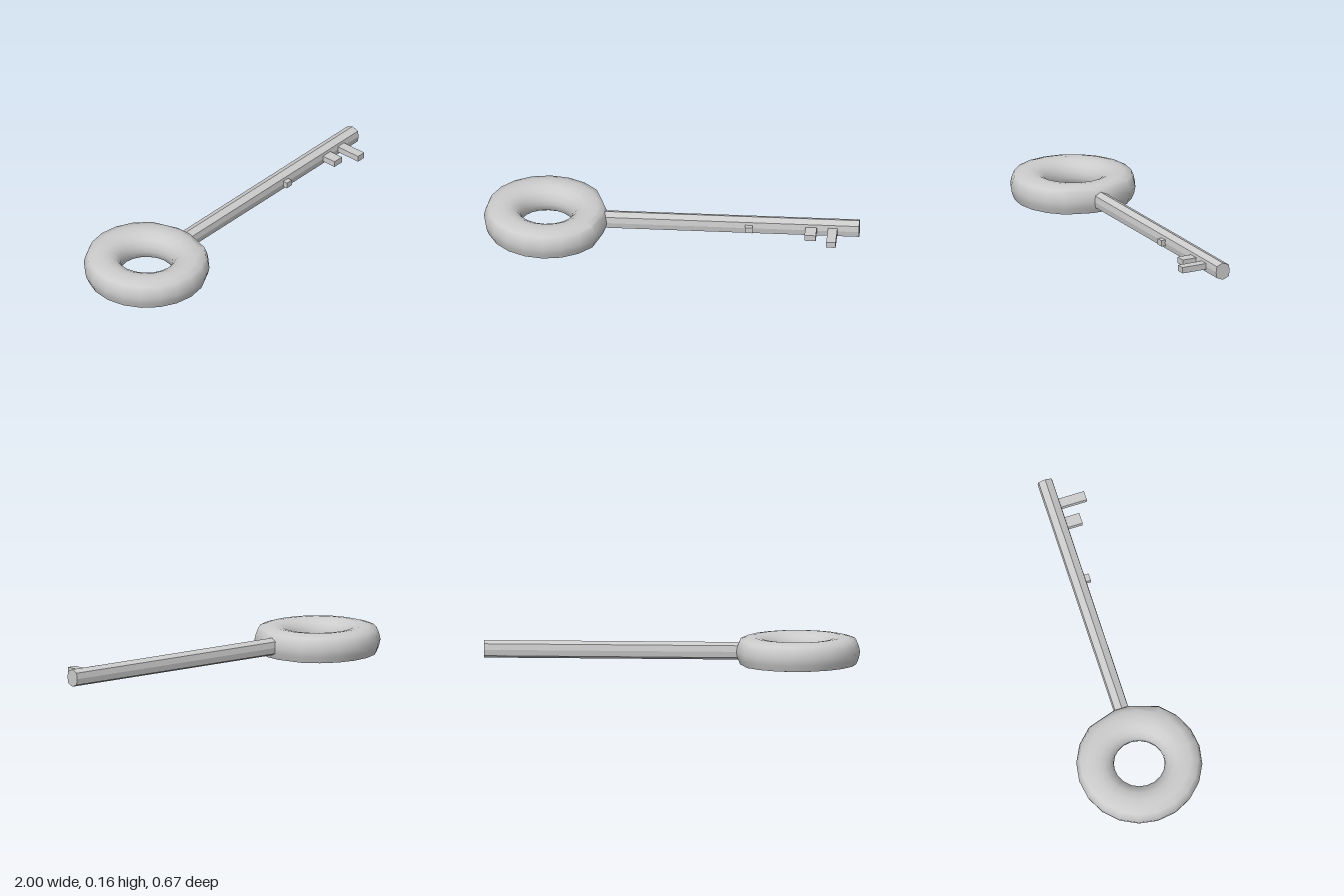
import * as THREE from 'three';
import { mergeVertices, toCreasedNormals } from 'three/addons/utils/BufferGeometryUtils.js';

const RING_X = -0.665, MID_Y = 0.078;

export function createModel() {
  const model = new THREE.Group();
  const grey = new THREE.MeshStandardMaterial({ color: 0xcccccc });
  const add = (name, geometry, x, y, z) => {
    const mesh = new THREE.Mesh(geometry, grey);
    mesh.name = name;
    mesh.position.set(x, y, z);
    model.add(mesh);
  };

  // Ring handle: thick rounded section turned in 20 steps, with a lip underneath
  const profile = [
    [0.235, 0], [0.272, 0.011], [0.315, 0.012], [0.328, 0.044], [0.335, 0.078],
    [0.328, 0.11], [0.315, 0.142], [0.275, 0.153], [0.235, 0.158], [0.195, 0.152],
    [0.16, 0.133], [0.138, 0.1], [0.135, 0.07], [0.142, 0.034], [0.165, 0.018],
    [0.2, 0.007], [0.235, 0],
  ].map(([r, y]) => new THREE.Vector2(r, y));
  let ring = new THREE.LatheGeometry(profile, 20);

  // Draw the outer wall in to a narrow flat where the shaft joins
  const p = ring.attributes.position;
  for (let i = 0; i < p.count; i++) {
    const x = p.getX(i), z = p.getZ(i), r = Math.hypot(x, z);
    if (r > 0.3 && x > 0.93 * r) {
      p.setX(i, r - 0.013);
      p.setZ(i, Math.abs(z) < 0.01 ? 0 : Math.sign(z) * 0.042);
    }
  }
  ring.deleteAttribute('uv');
  ring.deleteAttribute('normal');
  ring = toCreasedNormals(mergeVertices(ring, 1e-4), 0.95);
  add('ringHandle', ring, RING_X, 0, 0);

  // Eight-sided shaft, extruded along x
  const section = new THREE.Shape([
    [0, 0.047], [0.036, 0.032], [0.041, 0], [0.036, -0.032],
    [0, -0.047], [-0.036, -0.032], [-0.041, 0], [-0.036, 0.032],
  ].map(([a, b]) => new THREE.Vector2(a, b)));
  const shaft = new THREE.ExtrudeGeometry(section, { depth: 1.4, bevelEnabled: false });
  shaft.rotateY(Math.PI / 2);
  add('shaft', shaft, -0.4, MID_Y, 0);

  // Teeth: [x centre, width, reach in z]
  [[0.414, 0.04, 0.064], [0.745, 0.06, 0.12], [0.86, 0.05, 0.181]].forEach(([x, w, reach], i) => {
    add(`tooth${i + 1}`, new THREE.BoxGeometry(w, 0.033, reach), x, MID_Y, reach / 2);
  });

  return model;
}
